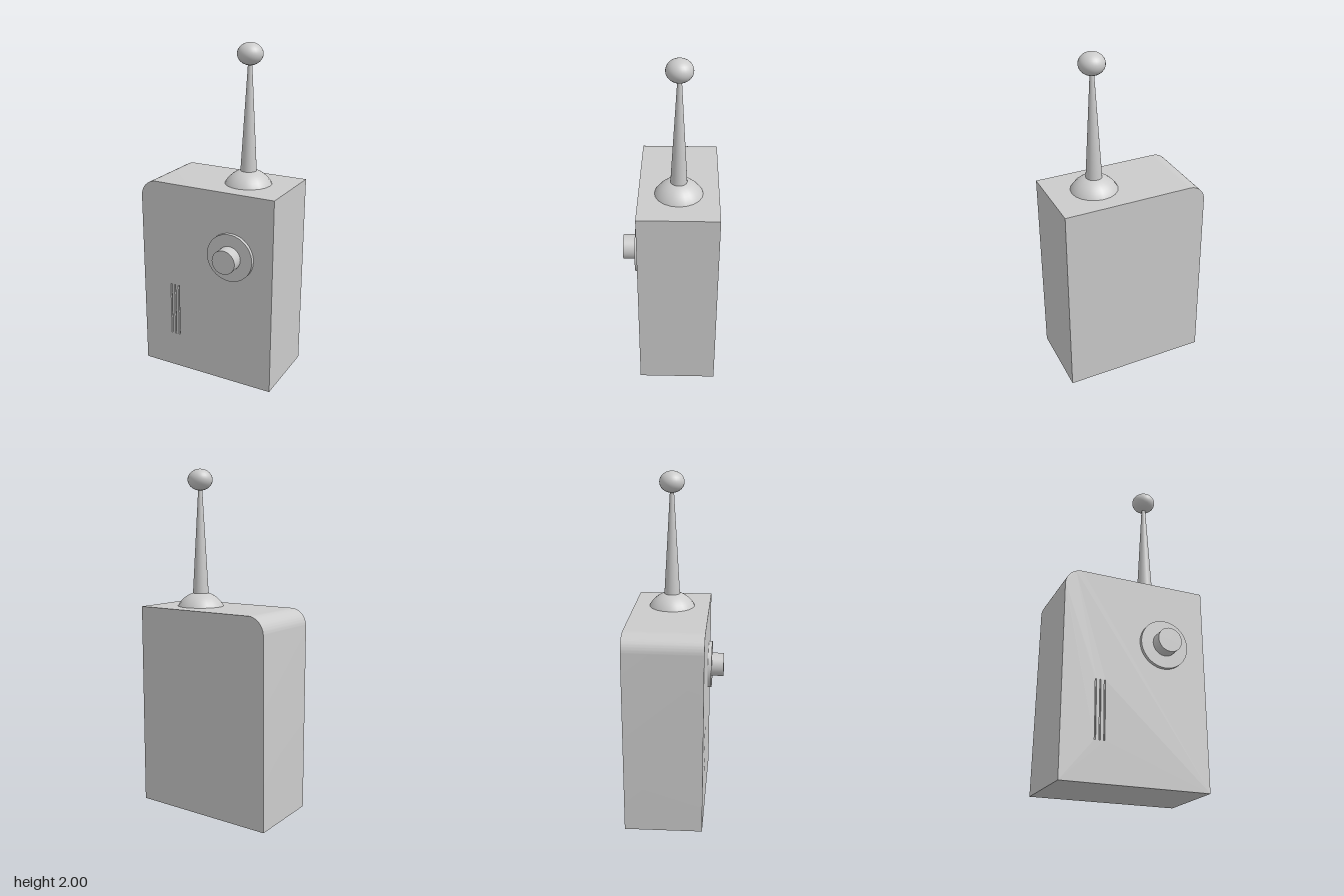
import * as THREE from 'three';
import { toCreasedNormals } from 'three/addons/utils/BufferGeometryUtils.js';

const FRONT = 0.18, BACK = -0.275, GROOVE_DEPTH = 0.012;
const LEFT = -0.425, RIGHT = 0.435, TOP = 1.2, CORNER = 0.1;

export function createModel() {
  const model = new THREE.Group();
  const material = new THREE.MeshStandardMaterial({ color: 0xcccccc });

  function add(name, geometry, x = 0, y = 0, z = 0) {
    const mesh = new THREE.Mesh(geometry, material);
    mesh.name = name;
    mesh.position.set(x, y, z);
    model.add(mesh);
    return mesh;
  }

  // Case outline with one rounded top corner
  function outline() {
    const s = new THREE.Shape();
    s.moveTo(LEFT, 0);
    s.lineTo(RIGHT, 0);
    s.lineTo(RIGHT, TOP);
    s.lineTo(LEFT + CORNER, TOP);
    s.absarc(LEFT + CORNER, TOP - CORNER, CORNER, Math.PI / 2, Math.PI, false);
    s.closePath();
    return s;
  }

  // Extrude a slab of the case; its rounded side flares a little at the lower back
  function slab(shape, z0, z1) {
    const g = new THREE.ExtrudeGeometry(shape, { depth: z1 - z0, bevelEnabled: false, curveSegments: 12 });
    g.translate(0, 0, z0);
    const p = g.attributes.position;
    for (let i = 0; i < p.count; i++) {
      if (p.getX(i) > LEFT + 0.001) continue;
      const down = Math.max(0, 1 - p.getY(i) / (TOP - CORNER));
      const back = (FRONT - p.getZ(i)) / (FRONT - BACK);
      p.setX(i, p.getX(i) - 0.012 * down * back);
    }
    return toCreasedNormals(g, 0.5);
  }

  add('case', slab(outline(), BACK, FRONT - GROOVE_DEPTH));

  // Front panel pierced by three narrow speaker grooves
  const panel = outline();
  for (const x of [-0.233, -0.207, -0.181]) {
    const w = 0.004, y0 = 0.225, y1 = 0.56;
    const slot = new THREE.Path();
    slot.moveTo(x - w, y0);
    slot.lineTo(x - w, y1);
    slot.lineTo(x + w, y1);
    slot.lineTo(x + w, y0);
    slot.closePath();
    panel.holes.push(slot);
  }
  add('frontPanel', slab(panel, FRONT - GROOVE_DEPTH, FRONT));

  // Dial: a thin plate with a round knob
  function disc(name, radius, z0, z1) {
    const g = new THREE.CylinderGeometry(radius, radius, z1 - z0, 40);
    g.rotateX(Math.PI / 2);
    add(name, g, 0.173, 0.82, (z0 + z1) / 2);
  }
  disc('dialPlate', 0.144, FRONT - 0.005, 0.202);
  disc('dialKnob', 0.072, 0.2, 0.275);

  // Aerial: domed foot, tapered rod and flattened ball
  const ax = 0.168, az = -0.047;
  add('aerialFoot', new THREE.SphereGeometry(0.154, 20, 10, 0, Math.PI * 2, 0, 1.1), ax, 1.131, az);
  add('aerialRod', new THREE.CylinderGeometry(0.011, 0.048, 0.64, 24), ax, 1.58, az);
  add('aerialBall', new THREE.SphereGeometry(0.073, 28, 18), ax, 1.938, az).scale.y = 0.85;

  return model;
}
